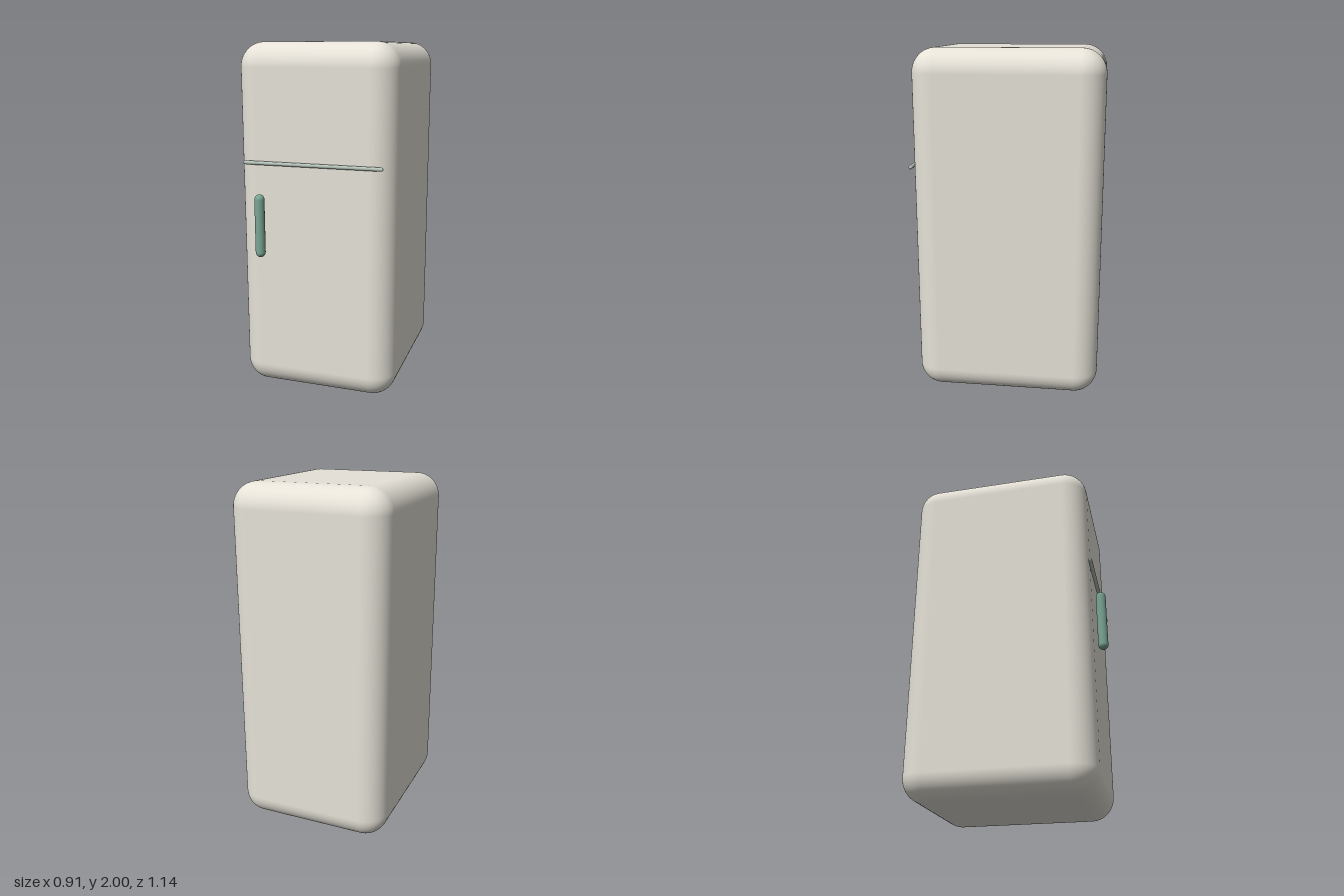
import * as THREE from 'three';
import { RoundedBoxGeometry } from 'three/addons/geometries/RoundedBoxGeometry.js';

export function createModel() {
  const group = new THREE.Group();
  const add = (name, geometry, color, x, y, z) => {
    const mesh = new THREE.Mesh(geometry, new THREE.MeshStandardMaterial({ color }));
    mesh.name = name;
    mesh.position.set(x, y, z);
    group.add(mesh);
    return mesh;
  };

  // Soft-cornered cabinet, front face at z = 0.493
  add('cabinet', new RoundedBoxGeometry(0.912, 2, 1.065, 8, 0.137), 0xe6e2d8, 0, 1, -0.0395);

  // Thin trim rod between the freezer and fridge compartments
  const rod = add('doorTrim', new THREE.CapsuleGeometry(0.011, 0.784, 8, 20), 0xb4c2b8, 0, 1.344, 0.503);
  rod.rotation.z = Math.PI / 2;

  // Upright door handle
  add('doorHandle', new THREE.CapsuleGeometry(0.028, 0.304, 10, 28), 0x7aa594, -0.293, 0.995, 0.542);

  return group;
}
